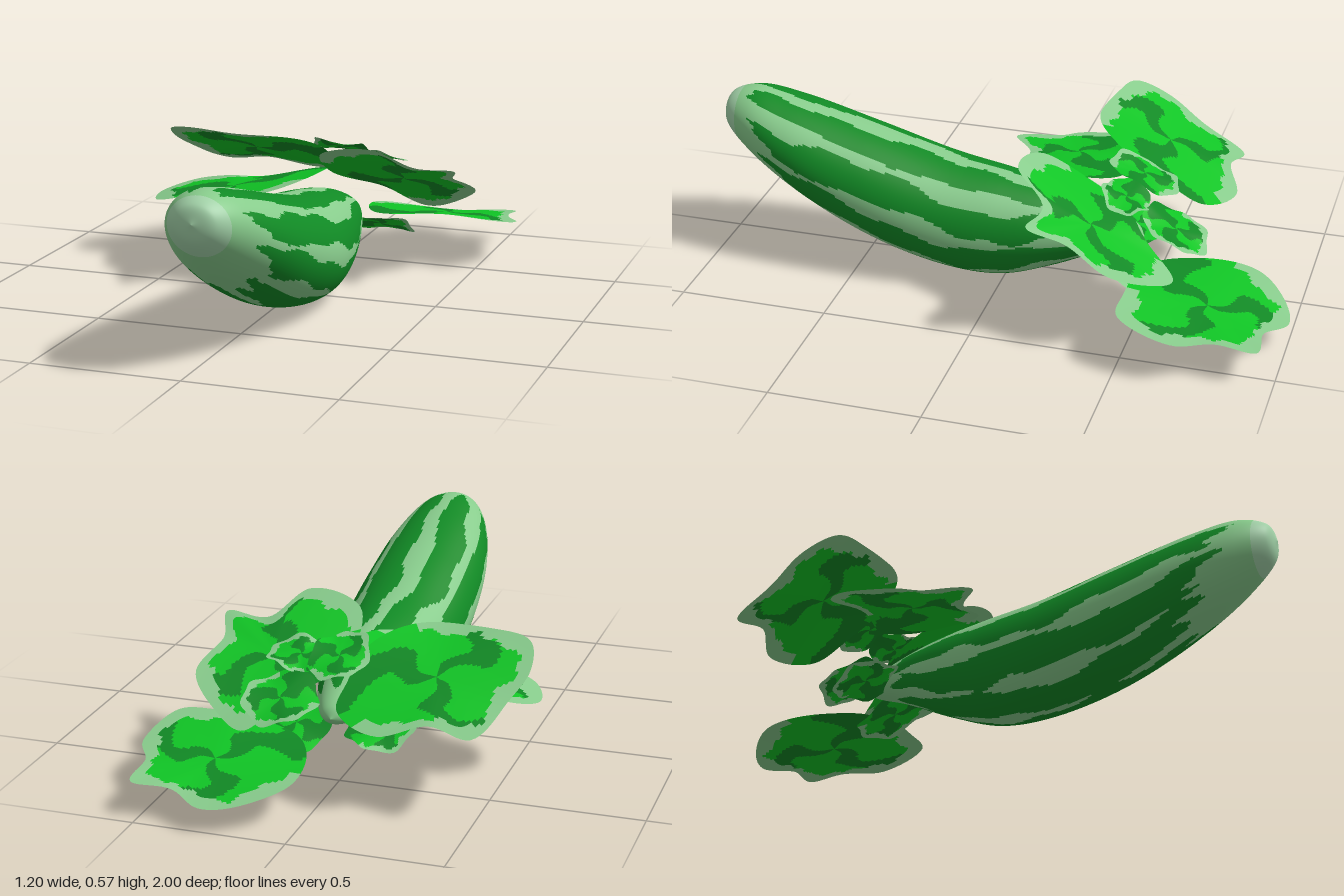
import * as THREE from 'three';

const flat = (name, color, side = THREE.FrontSide) => {
  const m = new THREE.MeshStandardMaterial({ color, side });
  m.name = name;
  return m;
};

// Indexed mesh whose triangles are sorted into one group per material
function paintedMesh(name, positions, buckets, materials) {
  const geo = new THREE.BufferGeometry();
  geo.setAttribute('position', new THREE.Float32BufferAttribute(positions, 3));
  geo.setIndex(buckets.flat());
  let start = 0;
  buckets.forEach((b, i) => {
    geo.addGroup(start, b.length, i);
    start += b.length;
  });
  geo.computeVertexNormals();
  const mesh = new THREE.Mesh(geo, materials);
  mesh.name = name;
  return mesh;
}

// Curved fruit: tilted elliptical rings between an upper and a lower profile
function createFruit(materials) {
  // half width, top y, top z, bottom y, bottom z
  const rings = [
    [0, 0.49, 1, 0.49, 1],
    [0.07, 0.548, 0.975, 0.425, 0.98],
    [0.135, 0.573, 0.89, 0.325, 0.87],
    [0.185, 0.55, 0.76, 0.205, 0.68],
    [0.21, 0.48, 0.5, 0.08, 0.42],
    [0.205, 0.405, 0.22, 0.015, 0.17],
    [0.18, 0.37, 0, 0.01, 0],
    [0.14, 0.33, -0.2, 0.065, -0.17],
    [0.085, 0.275, -0.36, 0.14, -0.34],
    [0.04, 0.235, -0.445, 0.175, -0.445],
    [0, 0.2, -0.47, 0.2, -0.47],
  ];
  const upper = new THREE.CatmullRomCurve3(rings.map((r) => new THREE.Vector3(r[0], r[1], r[2])));
  const lower = new THREE.CatmullRomCurve3(rings.map((r) => new THREE.Vector3(r[0], r[3], r[4])));
  const N = 160, M = 144, positions = [], buckets = [[], [], []];

  for (let i = 0; i <= N; i++) {
    const T = upper.getPoint(i / N), B = lower.getPoint(i / N);
    for (let j = 0; j < M; j++) {
      const a = (j / M) * Math.PI * 2, c = Math.cos(a);
      positions.push(
        0.04 + T.x * Math.sin(a),
        (T.y + B.y) / 2 + ((T.y - B.y) / 2) * c,
        (T.z + B.z) / 2 + ((T.z - B.z) / 2) * c
      );
    }
  }

  // Eight wavering pale stripes, pale ends and a paler blossom tip
  const colourAt = (t, a) => {
    if (t < 0.15) return 2;
    const front = 0.245 - 0.04 * Math.cos(a) + 0.02 * Math.sin(a * 9 + 1) + 0.012 * Math.sin(a * 23);
    if (t < front || t > 0.79 + 0.02 * Math.sin(a * 8)) return 1;
    const wobble = a + 0.05 * Math.sin(t * 19) + 0.025 * Math.sin(t * 57);
    const step = Math.PI / 4, k = Math.round(wobble / step);
    const width = 0.12 + 0.07 * Math.sin(t * 21 + k * 2.1) + 0.03 * Math.sin(t * 63 + k)
      + 0.03 * Math.cos(a) + 0.25 * Math.max(0, 0.3 - t);
    return Math.abs(wobble - k * step) < width ? 1 : 0;
  };
  for (let i = 0; i < N; i++) {
    for (let j = 0; j < M; j++) {
      const p = i * M + j, q = i * M + ((j + 1) % M);
      buckets[colourAt((i + 0.5) / N, ((j + 0.5) / M) * Math.PI * 2)].push(p, q, q + M, p, q + M, p + M);
    }
  }
  return paintedMesh('fruit', positions, buckets, materials);
}

// Leaf blade: a lobed outline in plan (x, z), filled with rings and tilted
function createLeaf({ name, outline, y, slopeX = 0, slopeZ = 0, vein = 0.35, phase = 0 }, materials) {
  const pts = outline.map(([x, z]) => new THREE.Vector3(x, 0, z));
  if (THREE.ShapeUtils.area(pts.map((p) => new THREE.Vector2(p.x, -p.z))) < 0) pts.reverse();
  const curve = new THREE.CatmullRomCurve3(pts, true);
  const mid = pts.reduce((s, p) => s.add(p), new THREE.Vector3()).divideScalar(pts.length);
  const baseAngle = Math.atan2(-0.45 - mid.z, 0.06 - mid.x);
  const N = 24, M = 96, positions = [], buckets = [[], [], []];

  for (let i = 0; i <= N; i++) {
    for (let j = 0; j < M; j++) {
      const r = i / N, p = curve.getPoint(j / M).sub(mid).multiplyScalar(r);
      const a = Math.atan2(p.z, p.x);
      const ripple = 0.01 * r * r * Math.sin(3 * a + phase);
      positions.push(mid.x + p.x, y + slopeX * p.x + slopeZ * p.z + ripple, mid.z + p.z);
    }
  }

  // Pale rim away from the stalk, dark branching veins, bright blade
  const colourAt = (r, a) => {
    const toBase = Math.cos(a - baseAngle);
    const rim = 0.82 + 0.05 * Math.sin(7 * a + phase) + 0.03 * Math.sin(17 * a);
    if (r > rim && toBase < 0.6) return 2;
    const veins = Math.sin(3 * (a - baseAngle) + Math.PI / 2 + 0.9 * Math.sin(r * 8 + phase));
    return veins > vein + 0.45 * r * (1 - Math.max(0, toBase)) ? 1 : 0;
  };
  for (let i = 0; i < N; i++) {
    for (let j = 0; j < M; j++) {
      const p = i * M + j, q = i * M + ((j + 1) % M);
      const d = curve.getPoint((j + 0.5) / M).sub(mid);
      buckets[colourAt((i + 0.5) / N, Math.atan2(d.z, d.x))].push(p, p + M, q + M, p, q + M, q);
    }
  }
  return paintedMesh(name, positions, buckets, materials);
}

// Rounded outline with shallow lobes for the young leaves
function lobed(cx, cz, rx, rz) {
  return Array.from({ length: 14 }, (_, i) => {
    const a = (i / 14) * Math.PI * 2, k = i % 2 ? 1 : 0.9;
    return [cx + rx * k * Math.cos(a), cz + rz * k * Math.sin(a)];
  });
}

export function createModel() {
  const group = new THREE.Group();
  group.name = 'stripedGourd';

  const darkGreen = flat('darkGreen', 0x118a25);
  const paleGreen = flat('paleGreen', 0x88cc8c);
  const tipGreen = flat('tipGreen', 0xa2d2a8);
  group.add(createFruit([darkGreen, paleGreen, tipGreen]));

  const leafMaterials = [
    flat('leafGreen', 0x10c525, THREE.DoubleSide),
    flat('veinGreen', 0x118a25, THREE.DoubleSide),
    flat('rimGreen', 0x88cc8c, THREE.DoubleSide),
  ];
  const leaves = [
    // Four large leaves
    { name: 'rightBackLeaf', y: 0.39, slopeZ: 0.45, phase: 0.4, outline: [
      [-0.6, -0.41], [-0.56, -0.53], [-0.49, -0.7], [-0.35, -0.68], [-0.2, -0.73], [-0.04, -0.64],
      [-0.04, -0.53], [-0.06, -0.4], [-0.16, -0.28], [-0.26, -0.24], [-0.44, -0.26], [-0.57, -0.3]] },
    { name: 'rightFrontLeaf', y: 0.32, slopeX: 0.19, phase: 1.7, outline: [
      [-0.59, -0.26], [-0.55, -0.11], [-0.43, -0.04], [-0.35, 0.08], [-0.23, 0], [-0.08, -0.01],
      [0.015, -0.12], [0.02, -0.29], [-0.08, -0.36], [-0.3, -0.32], [-0.5, -0.35]] },
    { name: 'leftFrontLeaf', y: 0.35, slopeZ: 0.55, phase: 2.6, outline: [
      [0.03, -0.32], [0.05, -0.13], [0.24, -0.09], [0.34, -0.2], [0.5, -0.19], [0.47, -0.3],
      [0.51, -0.45], [0.39, -0.57], [0.28, -0.62], [0.18, -0.5], [0.08, -0.42]] },
    { name: 'leftBackLeaf', y: 0.14, slopeZ: 0.18, phase: 3.9, outline: [
      [0.04, -0.7], [0.04, -0.86], [0.16, -0.97], [0.28, -1], [0.39, -0.94], [0.53, -0.94],
      [0.54, -0.8], [0.6, -0.68], [0.55, -0.5], [0.42, -0.49], [0.25, -0.5], [0.12, -0.55]] },
    // Young leaves around the stalk end
    { name: 'youngLeafCentre', y: 0.42, slopeZ: 0.4, vein: -0.1, phase: 1, outline: lobed(0.01, -0.46, 0.1, 0.12) },
    { name: 'youngLeafBack', y: 0.31, slopeZ: 0.5, vein: -0.3, phase: 2, outline: lobed(0.16, -0.6, 0.13, 0.11) },
    { name: 'youngLeafLeft', y: 0.4, slopeZ: 0.4, vein: -0.1, phase: 4, outline: lobed(0.15, -0.43, 0.12, 0.08) },
    { name: 'lowerLeafRight', y: 0.17, slopeZ: 0.4, vein: 0, phase: 5, outline: lobed(-0.11, -0.41, 0.12, 0.11) },
    { name: 'lowerLeafLeft', y: 0.16, slopeZ: 0.45, vein: 0, phase: 0, outline: lobed(0.17, -0.43, 0.12, 0.14) },
  ];
  for (const leaf of leaves) group.add(createLeaf(leaf, leafMaterials));
  return group;
}
